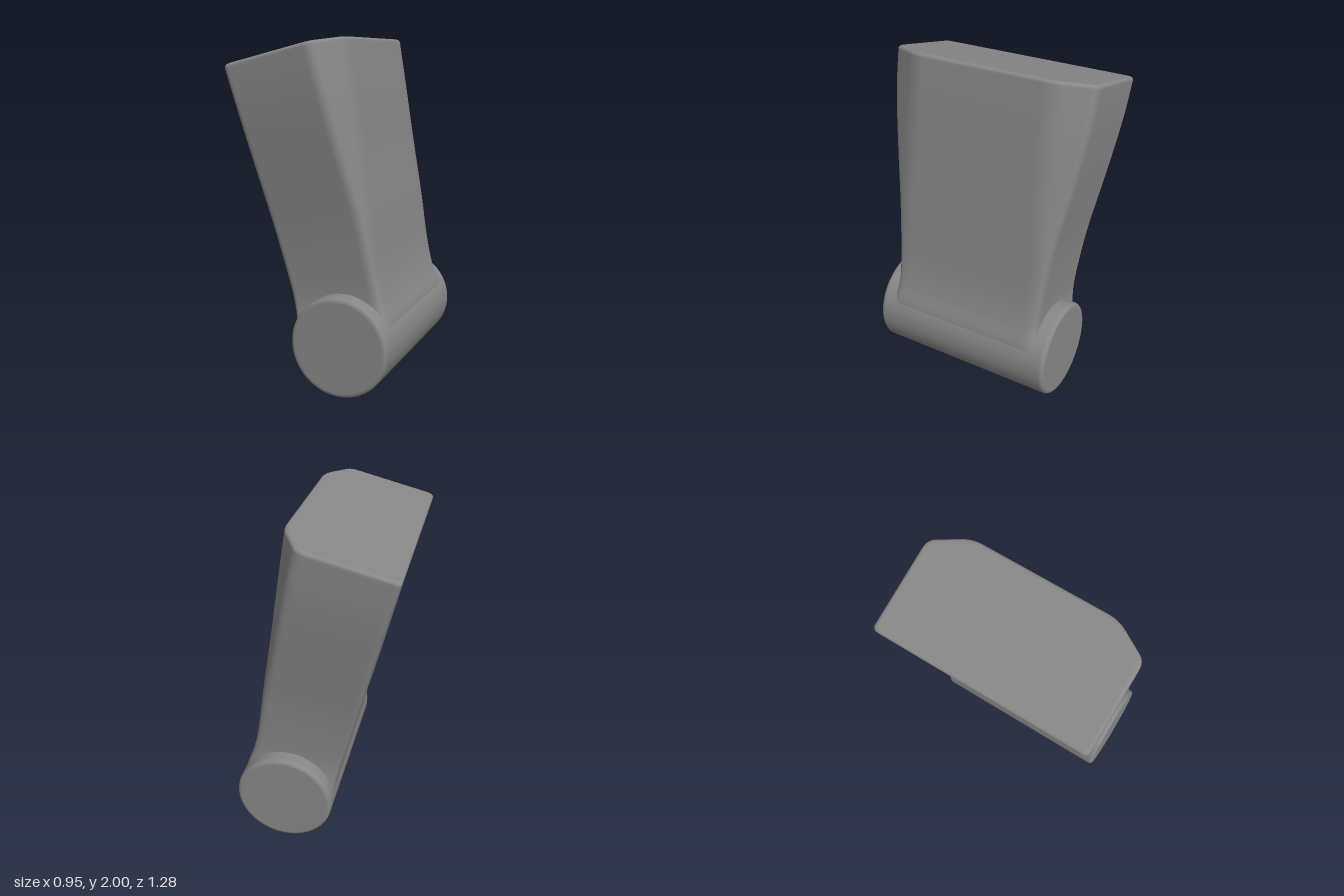
import * as THREE from 'three';

// Arm stations from the barrel upward:
// back edge x,y | front edge x,y | chamfer start (0..1 along the depth) | half width | half width of front face
const STATIONS = [
  [-0.100, 0.28, 0.455, 0.28, 0.95, 0.530, 0.51],
  [-0.116, 0.40, 0.447, 0.42, 0.95, 0.510, 0.48],
  [-0.145, 0.53, 0.403, 0.55, 0.95, 0.495, 0.46],
  [-0.190, 0.70, 0.362, 0.72, 0.96, 0.500, 0.46],
  [-0.252, 0.95, 0.316, 1.03, 0.95, 0.525, 0.45],
  [-0.332, 1.28, 0.262, 1.38, 0.90, 0.578, 0.44],
  [-0.412, 1.60, 0.212, 1.72, 0.855, 0.622, 0.43],
  [-0.475, 1.828, 0.170, 1.982, 0.82, 0.638, 0.43],
];

// Smooth interpolation through the stations
function stationAt(t) {
  const n = STATIONS.length - 1;
  const i = Math.min(Math.floor(t * n), n - 1);
  const f = t * n - i;
  const s = (k) => STATIONS[Math.max(0, Math.min(n, k))];
  return STATIONS[0].map((_, c) => {
    const a = s(i - 1)[c], b = s(i)[c], d = s(i + 1)[c], e = s(i + 2)[c];
    return b + 0.5 * f * (d - a + f * (2 * a - 5 * b + 4 * d - e + f * (3 * (b - d) + e - a)));
  });
}

// Six-sided cross-section with rounded corners, shrunk by inset and raised by lift
function section([lx, ly, rx, ry, c, w, wf], inset, lift) {
  const u = new THREE.Vector2(rx - lx, ry - ly);
  const depth = u.length();
  u.divideScalar(depth);
  const a = inset, b = depth - inset, m = depth * c - inset * 0.5;
  const W = w - inset, F = wf - inset * 0.6;
  const poly = [[a, W], [m, W], [b, F], [b, -F], [m, -W], [a, -W]].map((p) => new THREE.Vector2(...p));
  const radii = [0.035, 0.045, 0.06, 0.06, 0.045, 0.035];
  const points = [];
  poly.forEach((p, i) => {
    const toward = (q) => {
      const d = q.clone().sub(p);
      return p.clone().addScaledVector(d, Math.min(radii[i] / d.length(), 0.45));
    };
    const corner = new THREE.QuadraticBezierCurve(toward(poly[(i + 5) % 6]), p, toward(poly[(i + 1) % 6]));
    points.push(...corner.getPoints(6));
  });
  return points.map((p) => [lx + u.x * p.x - u.y * lift, ly + u.y * p.x + u.x * lift, p.y]);
}

function armGeometry() {
  const rings = [];
  const rows = 56;
  for (let i = 0; i <= rows; i++) rings.push(section(stationAt(i / rows), 0, 0));
  // Rounded rim around the top face
  const r = 0.02, top = stationAt(1);
  for (let k = 1; k <= 5; k++) {
    const angle = (k / 5) * Math.PI / 2;
    rings.push(section(top, r * (1 - Math.cos(angle)), r * Math.sin(angle)));
  }
  rings.push(section(top, r + 0.006, r));

  const n = rings[0].length;
  const positions = rings.flat(2);
  const index = [];
  for (let i = 0; i < rings.length - 1; i++) {
    for (let j = 0; j < n; j++) {
      const a = i * n + j, b = i * n + (j + 1) % n;
      index.push(a, b, b + n, a, b + n, a + n);
    }
  }
  // Closing faces at both ends
  [0, rings.length - 1].forEach((row) => {
    const centre = positions.length / 3;
    positions.push(...[0, 1, 2].map((k) => rings[row].reduce((sum, p) => sum + p[k] / n, 0)));
    for (let j = 0; j < n; j++) {
      const a = row * n + j, b = row * n + (j + 1) % n;
      if (row) index.push(centre, a, b);
      else index.push(centre, b, a);
    }
  });
  const geometry = new THREE.BufferGeometry();
  geometry.setAttribute('position', new THREE.Float32BufferAttribute(positions, 3));
  geometry.setIndex(index);
  geometry.computeVertexNormals();
  return geometry;
}

// Barrel with softened end rims
function barrelGeometry(radius, half, bevel) {
  const profile = [new THREE.Vector2(0, -half), new THREE.Vector2(radius - bevel - 0.005, -half)];
  for (const side of [-1, 1]) {
    for (let k = 0; k <= 5; k++) {
      const angle = ((side < 0 ? k - 5 : k) / 5) * Math.PI / 2;
      profile.push(new THREE.Vector2(
        radius - bevel + bevel * Math.cos(angle),
        side * (half - bevel) + bevel * Math.sin(angle)));
    }
    if (side < 0) profile.push(new THREE.Vector2(radius, -half + bevel + 0.01), new THREE.Vector2(radius, half - bevel - 0.01));
  }
  profile.push(new THREE.Vector2(radius - bevel - 0.005, half), new THREE.Vector2(0, half));
  return new THREE.LatheGeometry(profile, 72);
}

export function createModel() {
  const model = new THREE.Group();
  model.name = 'hingedArm';
  const material = new THREE.MeshStandardMaterial({ color: 0x878787 });

  const arm = new THREE.Mesh(armGeometry(), material);
  arm.name = 'arm';

  const barrel = new THREE.Mesh(barrelGeometry(0.292, 0.585, 0.025), material);
  barrel.name = 'hingeBarrel';
  barrel.rotation.x = Math.PI / 2;
  barrel.position.set(0.183, 0.294, 0);

  model.add(arm, barrel);
  return model;
}
